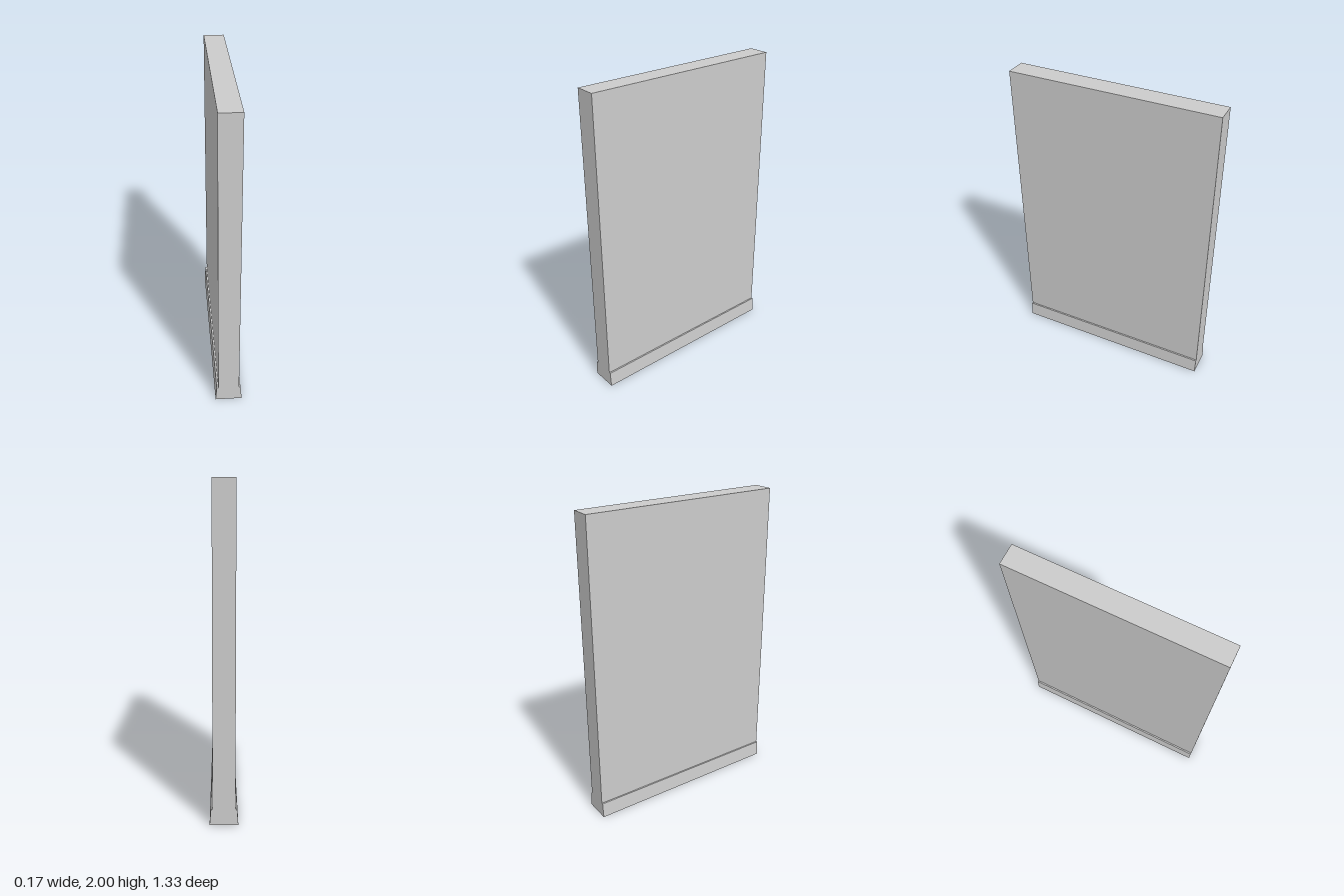
import * as THREE from 'three';

const DEPTH = 1.333;
const WALL = 0.067; // half thickness of the wall

// Extrude a front-facing profile along z, centred on z = 0
function extrudeProfile(points, name, material) {
  const shape = new THREE.Shape(points.map(([x, y]) => new THREE.Vector2(x, y)));
  const geometry = new THREE.ExtrudeGeometry(shape, { depth: DEPTH, bevelEnabled: false });
  geometry.translate(0, 0, -DEPTH / 2);
  const mesh = new THREE.Mesh(geometry, material);
  mesh.name = name;
  return mesh;
}

export function createModel() {
  const group = new THREE.Group();
  group.name = 'wallSegment';
  const material = new THREE.MeshStandardMaterial({ color: 0xcccccc, flatShading: true });

  // Plain upright slab
  group.add(extrudeProfile([[-WALL, 0], [WALL, 0], [WALL, 2], [-WALL, 2]], 'wall', material));

  // Tapered skirting board along each side
  const skirting = [[WALL, 0], [0.085, 0], [0.077, 0.1], [WALL, 0.1]];
  group.add(extrudeProfile(skirting, 'leftSkirting', material));
  group.add(extrudeProfile(skirting.map(([x, y]) => [-x, y]).reverse(), 'rightSkirting', material));

  return group;
}
